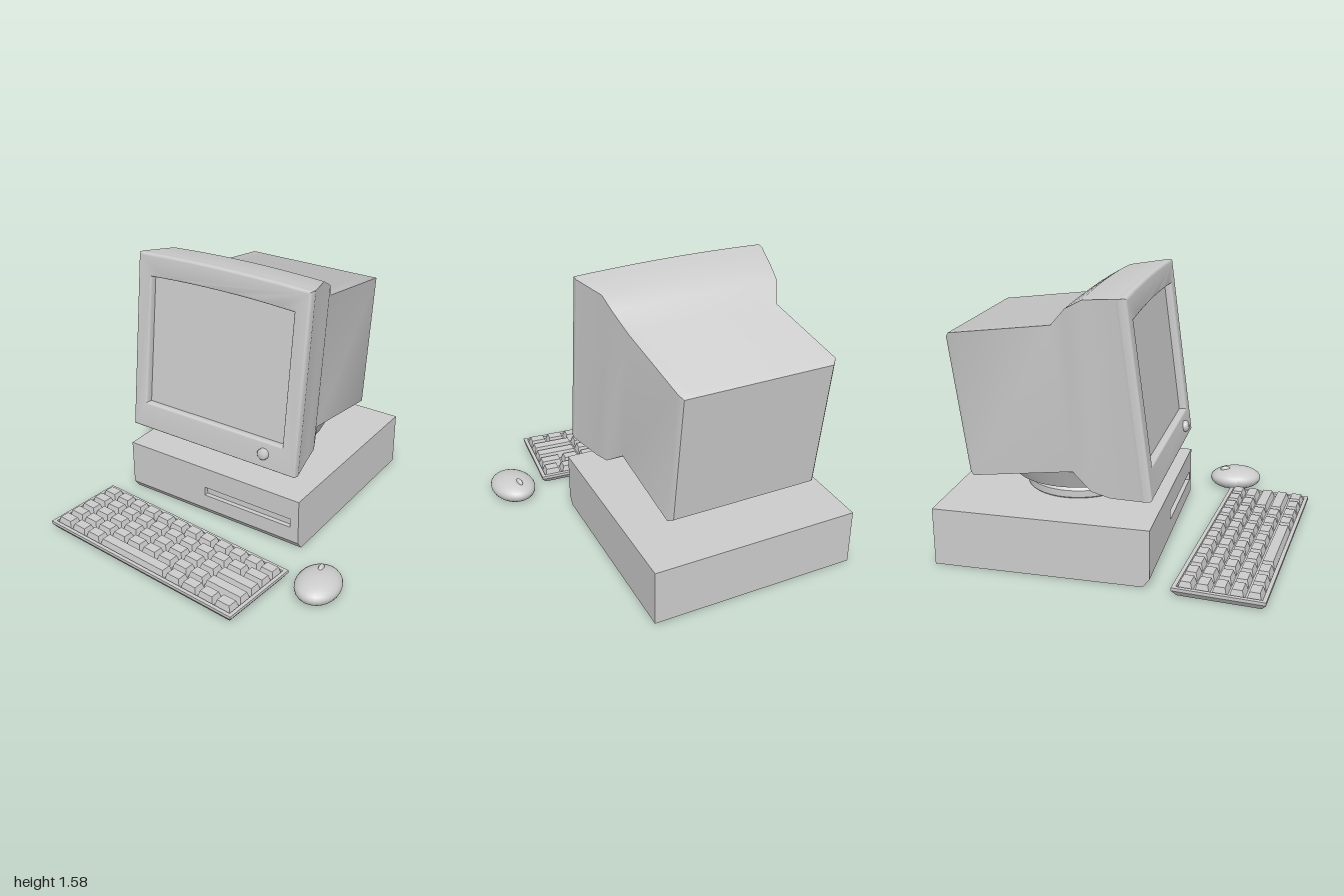
import * as THREE from 'three';
import { toCreasedNormals } from 'three/addons/utils/BufferGeometryUtils.js';

const material = new THREE.MeshStandardMaterial({ color: 0xcccccc });

function add(parent, name, geometry, x = 0, y = 0, z = 0) {
  const mesh = new THREE.Mesh(geometry, material);
  mesh.name = name;
  mesh.position.set(x, y, z);
  parent.add(mesh);
  return mesh;
}

// Closed outline of a panel whose top edge bows upward by `arch`.
function panelPoints(half, bottom, top, arch) {
  const points = [new THREE.Vector2(-half, bottom), new THREE.Vector2(half, bottom)];
  for (let i = 0; i <= 12; i++) {
    const t = 1 - i / 6;
    points.push(new THREE.Vector2(half * t, top - arch * t * t));
  }
  return points;
}

// Skin over cross-sections [z, half width, bottom, top, arch], front to back.
function loft(sections) {
  const rings = sections.map(([z, ...panel]) => panelPoints(...panel).map((p) => [p.x, p.y, z]));
  const n = rings[0].length;
  const index = [];
  for (let i = 0; i < rings.length - 1; i++) {
    for (let j = 0; j < n; j++) {
      const a = i * n + j, b = i * n + (j + 1) % n;
      index.push(a, b + n, b, a, a + n, b + n);
    }
  }
  const last = (rings.length - 1) * n;
  for (let j = 1; j < n - 1; j++) {
    index.push(0, j, j + 1, last, last + j + 1, last + j);
  }
  const geometry = new THREE.BufferGeometry();
  geometry.setAttribute('position', new THREE.Float32BufferAttribute(rings.flat(2), 3));
  geometry.setIndex(index);
  return toCreasedNormals(geometry, 0.8);
}

// Box whose top or bottom rim is drawn inward.
function taperedBox(w, h, d, insetTop, insetBottom) {
  const geometry = new THREE.BoxGeometry(w, h, d);
  const p = geometry.attributes.position;
  for (let i = 0; i < p.count; i++) {
    const inset = p.getY(i) > 0 ? insetTop : insetBottom;
    p.setX(i, p.getX(i) - Math.sign(p.getX(i)) * inset);
    p.setZ(i, p.getZ(i) - Math.sign(p.getZ(i)) * inset);
  }
  geometry.computeVertexNormals();
  return geometry;
}

function rectangle(x0, y0, x1, y1) {
  return [[x0, y0], [x1, y0], [x1, y1], [x0, y1]].map((p) => new THREE.Vector2(...p));
}

function createCase() {
  const group = new THREE.Group();
  group.name = 'computerCase';
  // Side profile (z, y) swept across the width, with a chamfered front foot
  const profile = [[-1, 0], [0.2, 0], [0.238, 0.05], [0.21, 0.05], [0.21, 0.337], [-1, 0.337]];
  const side = new THREE.Shape(profile.map((p) => new THREE.Vector2(...p)));
  const body = new THREE.ExtrudeGeometry(side, { depth: 1.235, bevelEnabled: false });
  body.rotateY(-Math.PI / 2);
  add(group, 'caseBody', body, 0.46);
  // Front panel with the drive slot cut through
  const panel = new THREE.Shape(rectangle(-0.775, 0.05, 0.46, 0.337));
  panel.holes.push(new THREE.Path(rectangle(-0.21, 0.145, 0.405, 0.202)));
  add(group, 'frontPanel', new THREE.ExtrudeGeometry(panel, { depth: 0.028, bevelEnabled: false }), 0, 0, 0.21);
  return group;
}

function createStand() {
  const group = new THREE.Group();
  group.name = 'monitorStand';
  group.position.set(-0.158, 0, -0.318);
  const profile = [[0, 0.335], [0.3, 0.335], [0.31, 0.345], [0.31, 0.385], [0.295, 0.4],
    [0.178, 0.4], [0.178, 0.44], [0.39, 0.44], [0.45, 0.56], [0, 0.56]];
  const swivel = new THREE.LatheGeometry(profile.map((p) => new THREE.Vector2(...p)), 40);
  add(group, 'swivel', toCreasedNormals(swivel, 0.6));
  return group;
}

function createMonitor() {
  const group = new THREE.Group();
  group.name = 'monitor';
  group.position.set(-0.158, 0.49, 0.245);
  group.rotation.x = -0.127;
  // Housing; its front cap is the glass seen through the bezel
  add(group, 'housing', loft([
    [-0.045, 0.585, 0, 1.104, 0.015],
    [-0.25, 0.52, 0, 1.104, 0.015],
    [-0.355, 0.505, 0.036, 1.055, 0.008],
    [-0.462, 0.455, 0.135, 0.957, 0],
    [-1.045, 0.455, 0.135, 0.957, 0],
    [-1.07, 0.432, 0.155, 0.935, 0],
  ]));
  // Bezel with rounded rims
  const frame = new THREE.Shape(panelPoints(0.585, 0, 1.104, 0.015));
  frame.holes.push(new THREE.Path(panelPoints(0.49, 0.166, 0.972, 0.015)));
  const bezel = new THREE.ExtrudeGeometry(frame, {
    depth: 0.034, bevelThickness: 0.012, bevelSize: 0.014, bevelOffset: -0.014, bevelSegments: 4,
  });
  add(group, 'bezel', toCreasedNormals(bezel, 0.6), 0, 0, -0.046);
  // Power button
  const points = [[0, 0.03], [0.026, 0.027], [0.034, 0.018], [0.035, -0.02]].reverse();
  const button = new THREE.LatheGeometry(points.map((p) => new THREE.Vector2(...p)), 20);
  button.rotateX(Math.PI / 2);
  add(group, 'powerButton', button, 0.373, 0.09, 0);
  return group;
}

function createKeyboard() {
  const group = new THREE.Group();
  group.name = 'keyboard';
  group.position.set(-0.17, 0, 0.682);
  group.rotation.y = -0.086;
  const width = 1.405, depth = 0.508, rim = 0.022;
  // Tapered tray and raised rim
  add(group, 'tray', taperedBox(width, 0.035, depth, 0, 0.025), 0, 0.0225, 0);
  const outline = new THREE.Shape(rectangle(-width / 2, -depth / 2, width / 2, depth / 2));
  outline.holes.push(new THREE.Path(
    rectangle(-width / 2 + rim, -depth / 2 + rim, width / 2 - rim, depth / 2 - rim)));
  const edge = new THREE.ExtrudeGeometry(outline, { depth: 0.018, bevelEnabled: false });
  edge.rotateX(-Math.PI / 2);
  add(group, 'trayRim', edge, 0, 0.04, 0);
  // Key rows, as relative key widths
  const rows = [
    Array(12).fill(0.9375),
    [...Array(10).fill(1), 1.25],
    [...Array(9).fill(1), 2.25],
    [...Array(9).fill(1), 2.25],
    [1, 1, 1, 4.25, 1, 1, 1, 1],
  ];
  const unit = (width - 2 * rim) / 11.25, pitch = (depth - 2 * rim) / 5;
  rows.forEach((row, r) => {
    let x = -width / 2 + rim;
    for (const size of row) {
      const w = size * unit;
      add(group, 'key', taperedBox(w - 0.01, 0.048, pitch - 0.01, 0.013, 0),
        x + w / 2, 0.061, (r - 2) * pitch);
      x += w;
    }
  });
  return group;
}

function createMouse() {
  const group = new THREE.Group();
  group.name = 'mouse';
  group.position.set(0.75, 0, 0.495);
  group.rotation.y = 0.2;
  // Domed shell with a flat underside
  const shell = new THREE.SphereGeometry(1, 24, 16);
  const p = shell.attributes.position;
  for (let i = 0; i < p.count; i++) {
    const y = p.getY(i);
    p.setXYZ(i, p.getX(i) * 0.132, y > 0 ? y * 0.067 : Math.max(y * 0.075, -0.052), p.getZ(i) * 0.166);
  }
  shell.computeVertexNormals();
  add(group, 'mouseShell', shell, 0, 0.053, 0);
  const wheel = new THREE.SphereGeometry(1, 14, 10);
  wheel.scale(0.016, 0.022, 0.034);
  add(group, 'mouseButton', wheel, -0.01, 0.108, -0.07);
  return group;
}

export function createModel() {
  const model = new THREE.Group();
  model.name = 'desktopComputer';
  model.add(createCase(), createStand(), createMonitor(), createKeyboard(), createMouse());
  return model;
}
